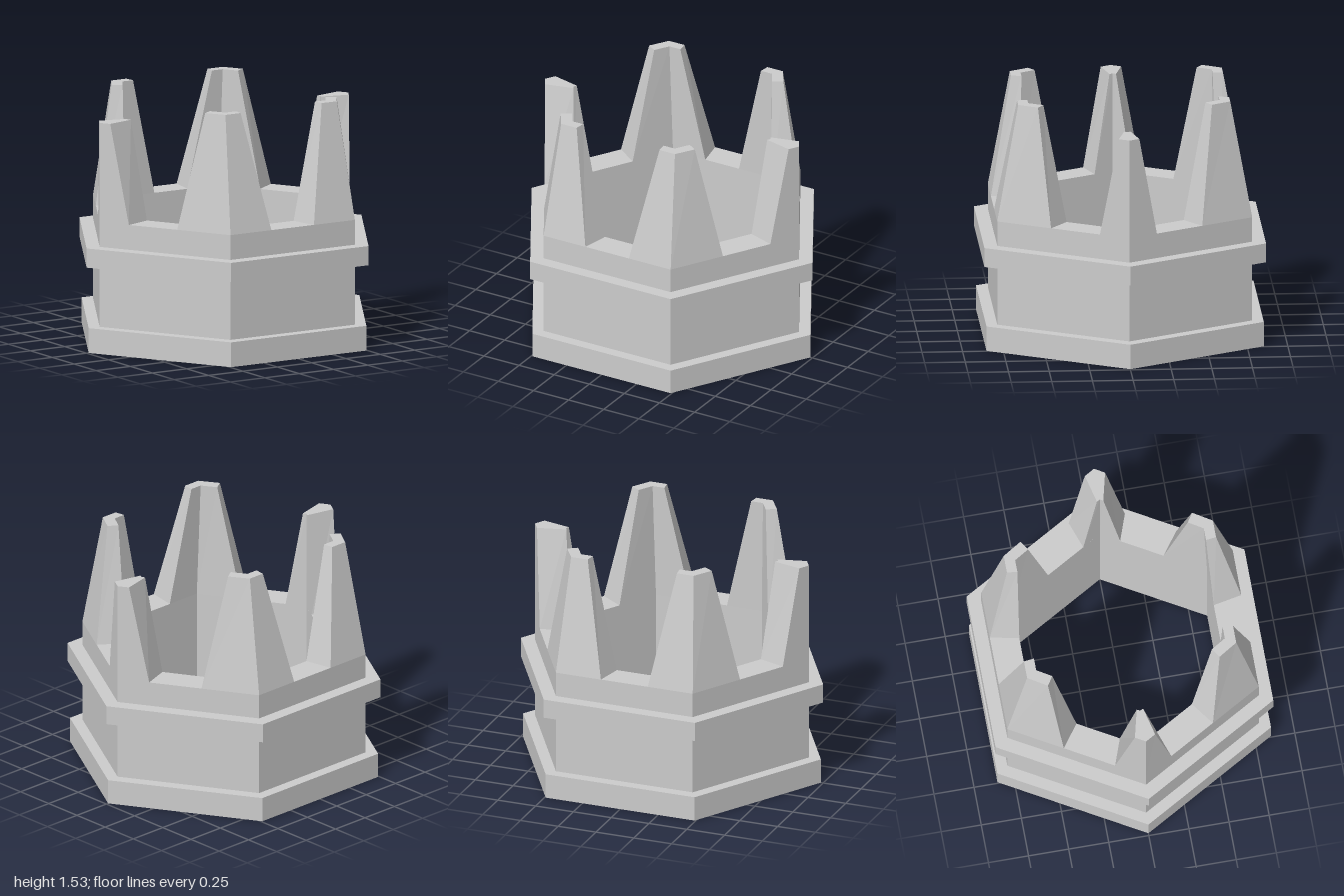
import * as THREE from 'three';

const material = new THREE.MeshStandardMaterial({ color: 0xcccccc, flatShading: true });

// Hexagon outline with corners on the x axis
function hexagon(path, radius) {
  const points = [];
  for (let i = 0; i < 6; i++) {
    const a = (i * Math.PI) / 3;
    points.push(new THREE.Vector2(radius * Math.cos(a), radius * Math.sin(a)));
  }
  return path.setFromPoints(points);
}

// Hollow hexagonal course between two heights
function hexRing(name, outer, inner, bottom, top) {
  const shape = hexagon(new THREE.Shape(), outer);
  shape.holes.push(hexagon(new THREE.Path(), inner));
  const geometry = new THREE.ExtrudeGeometry(shape, { depth: top - bottom, bevelEnabled: false });
  geometry.rotateX(-Math.PI / 2).translate(0, bottom, 0);
  const mesh = new THREE.Mesh(geometry, material);
  mesh.name = name;
  return mesh;
}

// Corner merlon lofted from a bent base section to a smaller top section;
// each section runs along the outer wall, then back along the inner wall
function merlon(name, base, top, bottomY, topY, sx, sz) {
  const place = (section, y) => {
    const points = section.map(([x, z]) => [x * sx, y, z * sz]);
    return sx * sz < 0 ? points.reverse() : points;
  };
  const low = place(base, bottomY);
  const high = place(top, topY);
  const positions = [];
  const quad = (a, b, c, d) => positions.push(...a, ...b, ...c, ...a, ...c, ...d);
  for (let i = 0; i < 6; i++) {
    const j = (i + 1) % 6;
    quad(low[i], low[j], high[j], high[i]);
  }
  quad(high[0], high[1], high[4], high[5]);
  quad(high[1], high[2], high[3], high[4]);
  const geometry = new THREE.BufferGeometry();
  geometry.setAttribute('position', new THREE.Float32BufferAttribute(positions, 3));
  geometry.computeVertexNormals();
  const mesh = new THREE.Mesh(geometry, material);
  mesh.name = name;
  return mesh;
}

export function createModel() {
  const group = new THREE.Group();
  group.name = 'hexagonalBattlement';
  const wallTop = 0.81;

  // Plinth, wall and raised band
  group.add(hexRing('basePlinth', 0.985, 0.7, 0, 0.155));
  group.add(hexRing('wall', 0.905, 0.7, 0.155, wallTop));
  group.add(hexRing('band', 1, 0.85, 0.535, 0.655));

  // Four tall merlons that lean inward
  const tallBase = [[0.155, 0.784], [0.4525, 0.784], [0.637, 0.465], [0.492, 0.36], [0.35, 0.606], [0.12, 0.606]];
  const tallTop = [[0.295, 0.652], [0.405, 0.652], [0.478, 0.535], [0.42, 0.498], [0.365, 0.588], [0.287, 0.588]];
  for (const sx of [1, -1]) {
    for (const sz of [1, -1]) {
      const name = `${sz > 0 ? 'front' : 'back'}${sx > 0 ? 'Left' : 'Right'}Merlon`;
      group.add(merlon(name, tallBase, tallTop, wallTop, 1.535, sx, sz));
    }
  }

  // Two shorter side merlons with an upright outer edge
  const sideBase = [[0.804, 0.175], [0.905, 0], [0.804, -0.175], [0.634, -0.115], [0.7, 0], [0.634, 0.115]];
  const sideTop = [[0.868, 0.063], [0.905, 0], [0.868, -0.063], [0.69, -0.02], [0.7, 0], [0.69, 0.02]];
  for (const sx of [1, -1]) {
    group.add(merlon(sx > 0 ? 'leftMerlon' : 'rightMerlon', sideBase, sideTop, wallTop, 1.43, sx, 1));
  }
  return group;
}
